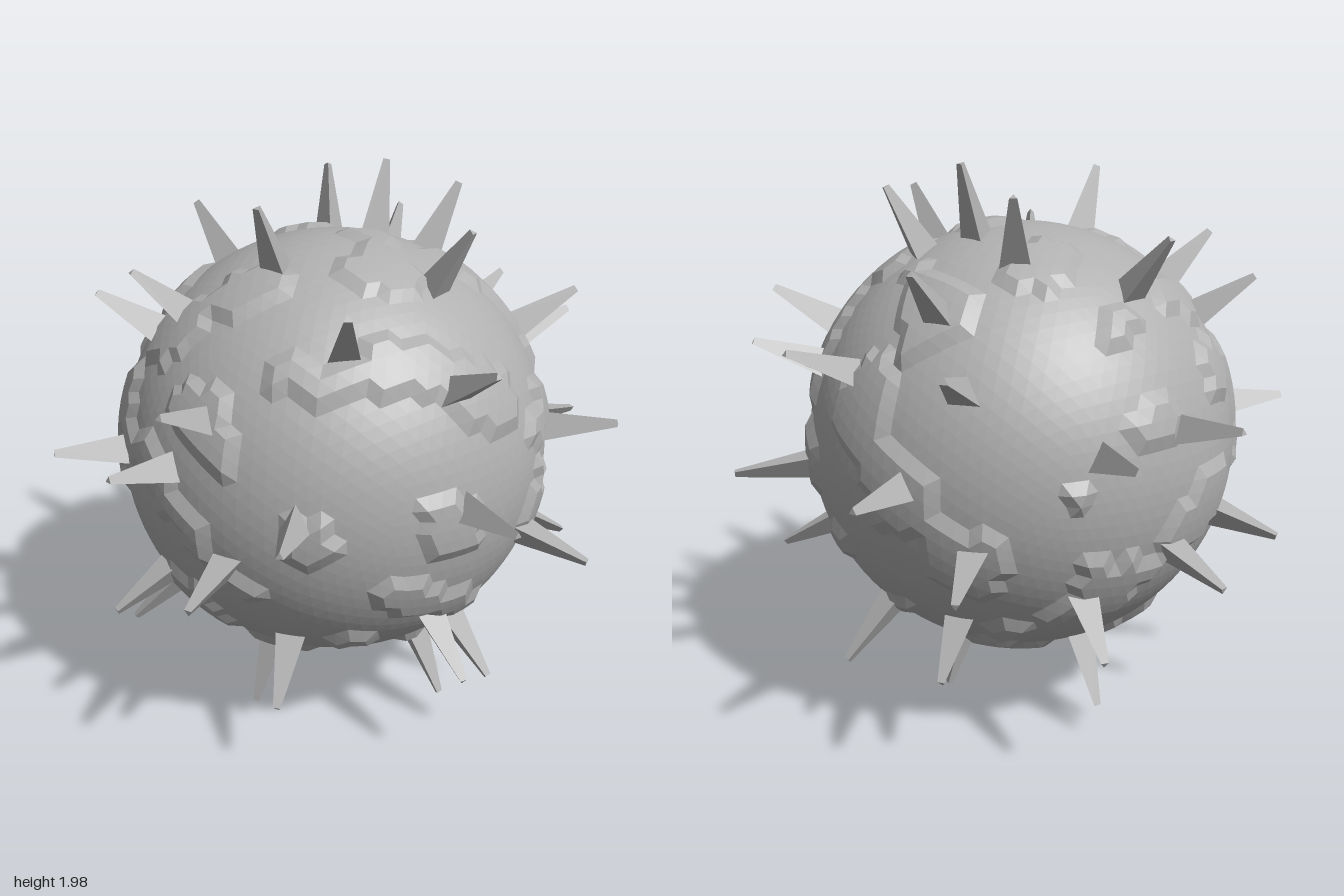
import * as THREE from 'three';
import { mergeVertices } from 'three/addons/utils/BufferGeometryUtils.js';

const CENTER = new THREE.Vector3(0, 1, -0.02);
const RADIUS = 0.768;
const STEP = 0.022;

// Spike tips, x / y / z
const UPPER_TIPS = [
  [-0.01, 1.985, -0.287], [0.04, 1.935, 0.365], [-0.345, 1.91, -0.333], [0.18, 1.905, -0.462],
  [-0.655, 1.78, 0.05], [0.53, 1.86, -0.11], [0.53, 1.71, 0.457], [0.85, 1.53, 0.14],
  [-0.295, 1.71, 0.625], [-0.535, 1.58, 0.605], [0.155, 1.41, 0.88], [0, 1.18, 0.975],
  [-0.465, 1.08, 0.88], [-0.99, 1.23, 0.05], [-0.95, 1.18, -0.355], [0.9, 1.195, -0.483],
  [0.99, 1.06, 0.18], [0.59, 1.08, 0.8], [-0.3, 1.705, -0.692], [0.54, 1.54, -0.71],
  [0.405, 1.395, -0.87], [0.02, 1.44, -0.955], [-0.39, 1.045, -0.98], [-0.53, 1.43, -0.74],
];
const LOWER_TIPS = [
  [0.3, 0.81, 0.925], [0.965, 0.765, -0.27], [-0.98, 0.71, 0.01], [-0.89, 0.77, 0.37],
  [-0.83, 0.51, -0.36], [-0.155, 0.585, 0.885], [-0.39, 0.345, 0.65], [-0.53, 0.13, -0.11],
  [0.385, 0.33, 0.64], [0.82, 0.435, 0.19], [0.76, 0.315, -0.025], [0.54, 0.125, -0.03],
  [0.095, 0.015, -0.305], [0.08, 0.105, 0.465], [0.395, 0.945, -0.98], [-0.635, 0.77, -0.79],
  [0.57, 0.56, -0.715], [0, 0.325, -0.8], [-0.38, 0.355, -0.67],
];

// Uneven pattern that decides where the skin is raised
function pattern(d) {
  return Math.sin(9 * d.x + 4 * d.y + 1.3) * Math.sin(8 * d.y - 5 * d.z + 0.4)
    + Math.sin(10 * d.z + 3 * d.x + 2.1) * Math.sin(7 * d.x - 6 * d.y + 0.9) * 0.8;
}

// Faceted ball with low stepped plates, raised here and there around the spikes
function createBody(material, directions) {
  const base = new THREE.IcosahedronGeometry(1, 17);
  base.deleteAttribute('uv');
  base.deleteAttribute('normal');
  const shell = mergeVertices(base, 1e-4);
  const p = shell.attributes.position;
  const v = new THREE.Vector3();
  for (let i = 0; i < p.count; i++) {
    v.fromBufferAttribute(p, i).normalize();
    const nearest = Math.max(...directions.map((d) => d.dot(v)));
    const raised = pattern(v) + (nearest > 0.975 ? 0.35 : 0) > 0.62;
    v.multiplyScalar(RADIUS + (raised ? STEP : 0));
    p.setXYZ(i, v.x, v.y, v.z);
  }
  const geometry = shell.toNonIndexed();
  geometry.computeVertexNormals();
  const body = new THREE.Mesh(geometry, material);
  body.name = 'body';
  body.position.copy(CENTER);
  return body;
}

// Three-sided spike with a blunt tip, its ridge turned away from the equator
function createSpike(material, tip, ridge) {
  const end = new THREE.Vector3(...tip).sub(CENTER);
  const out = end.clone().normalize();
  const root = RADIUS - 0.03;
  const length = end.length() - root;
  const geometry = new THREE.CylinderGeometry(0.015, 0.066, length, 3).toNonIndexed();
  geometry.computeVertexNormals();
  const spike = new THREE.Mesh(geometry, material);
  spike.name = 'spike';
  const z = new THREE.Vector3(0, ridge, 0).addScaledVector(out, -ridge * out.y).normalize();
  const x = new THREE.Vector3().crossVectors(out, z);
  spike.quaternion.setFromRotationMatrix(new THREE.Matrix4().makeBasis(x, out, z));
  spike.position.copy(CENTER).addScaledVector(out, root + length / 2);
  return spike;
}

export function createModel() {
  const model = new THREE.Group();
  model.name = 'spikedBall';
  const grey = new THREE.MeshStandardMaterial({ color: 0xb0b0b0 });
  grey.name = 'stone grey';

  const directions = [...UPPER_TIPS, ...LOWER_TIPS]
    .map((t) => new THREE.Vector3(...t).sub(CENTER).normalize());
  model.add(createBody(grey, directions));

  const spikes = new THREE.Group();
  spikes.name = 'spikes';
  UPPER_TIPS.forEach((t) => spikes.add(createSpike(grey, t, 1)));
  LOWER_TIPS.forEach((t) => spikes.add(createSpike(grey, t, -1)));
  model.add(spikes);
  return model;
}
